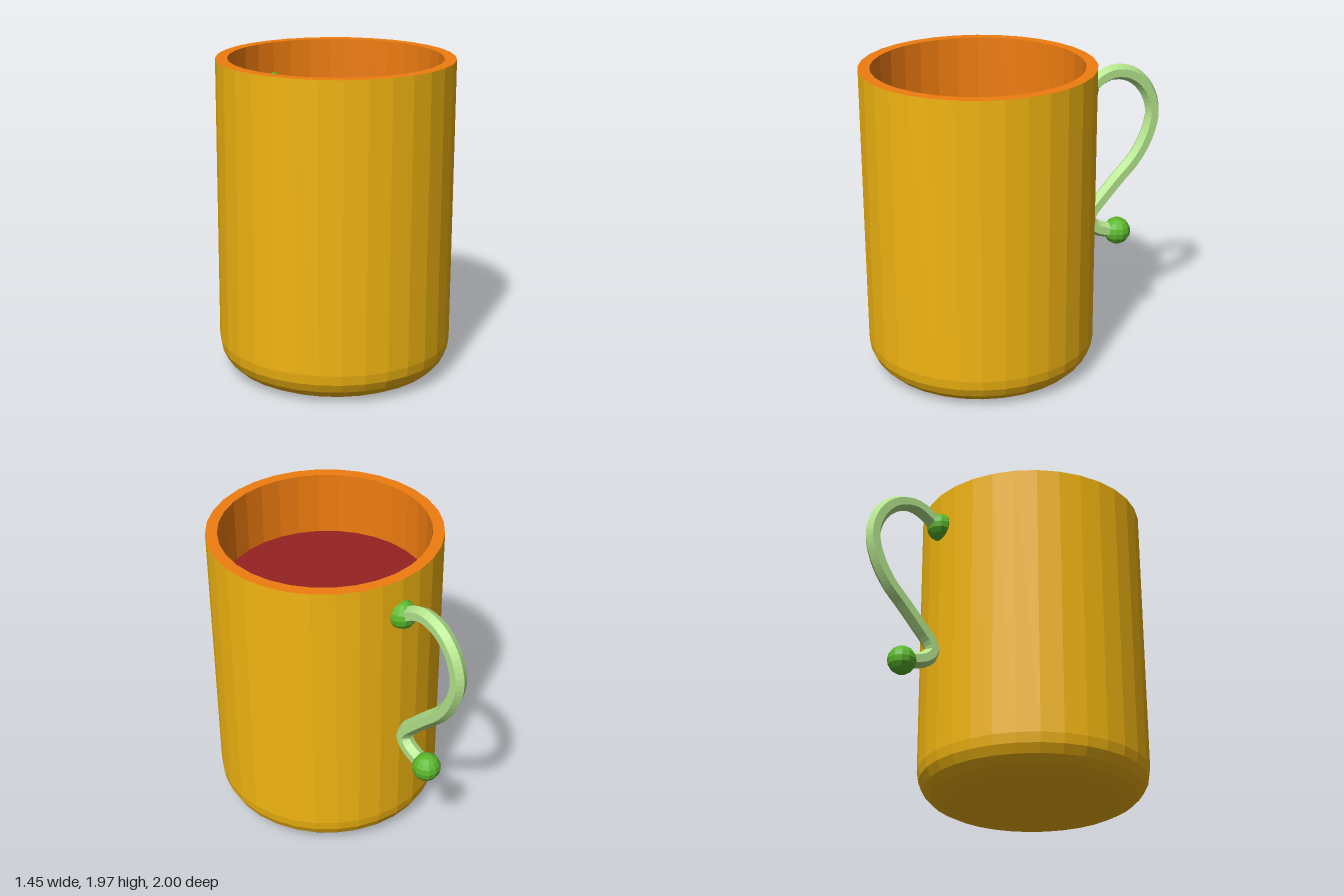
import * as THREE from 'three';

const SIDES = 32, RADIUS = 0.727, INNER = 0.655, HEIGHT = 1.97, LEVEL = 1.55, BEVEL = 0.2;
const CUP_Z = 0.273;

function part(name, geometry, color, z = 0, y = 0) {
  const material = new THREE.MeshStandardMaterial({ color, flatShading: true });
  const mesh = new THREE.Mesh(geometry, material);
  mesh.name = name;
  mesh.position.set(0, y, z);
  return mesh;
}

const lathe = (points) =>
  new THREE.LatheGeometry(points.map(([r, y]) => new THREE.Vector2(r, y)), SIDES);

export function createModel() {
  const mug = new THREE.Group();
  mug.name = 'mug';

  // Outer wall with a rounded lower edge and closed base
  const outer = [[0, 0]];
  for (let i = 0; i <= 5; i++) {
    const a = (i / 5) * Math.PI / 2;
    outer.push([RADIUS - BEVEL + BEVEL * Math.sin(a), BEVEL * (1 - Math.cos(a))]);
  }
  outer.push([RADIUS, HEIGHT]);
  mug.add(part('outerWall', lathe(outer), 0xf2b511, CUP_Z));

  // Flat rim and inner wall down to the drink
  mug.add(part('rimAndInnerWall', lathe([[RADIUS, HEIGHT], [INNER, HEIGHT], [INNER, LEVEL]]), 0xf07d10, CUP_Z));

  // Drink surface
  mug.add(part('drink', lathe([[INNER, LEVEL], [0, LEVEL]]), 0x962222, CUP_Z));

  // Handle: hexagonal bar swept along an S curve, given as z, y
  const path = new THREE.CatmullRomCurve3([
    [-0.477, 1.727], [-0.584, 1.797], [-0.67, 1.817], [-0.8, 1.78], [-0.906, 1.668],
    [-0.949, 1.517], [-0.911, 1.357], [-0.826, 1.214], [-0.708, 1.094], [-0.595, 0.976],
    [-0.515, 0.885], [-0.499, 0.831], [-0.54, 0.777], [-0.617, 0.743], [-0.713, 0.72],
  ].map(([z, y]) => new THREE.Vector3(0, y, z)));
  const hexagon = new THREE.Shape(Array.from({ length: 6 }, (_, i) => {
    const a = Math.PI / 2 + i * Math.PI / 3;
    return new THREE.Vector2(0.051 * Math.cos(a), 0.051 * Math.sin(a));
  }));
  const bar = new THREE.ExtrudeGeometry(hexagon, { steps: 48, extrudePath: path, bevelEnabled: false });
  mug.add(part('handle', bar, 0xb4e48c));

  // Ball at each end of the handle
  const ball = new THREE.SphereGeometry(0.09, 12, 8);
  mug.add(part('upperBall', ball, 0x5cb82c, -0.453, 1.727));
  mug.add(part('lowerBall', ball, 0x5cb82c, -0.713, 0.72));

  return mug;
}
